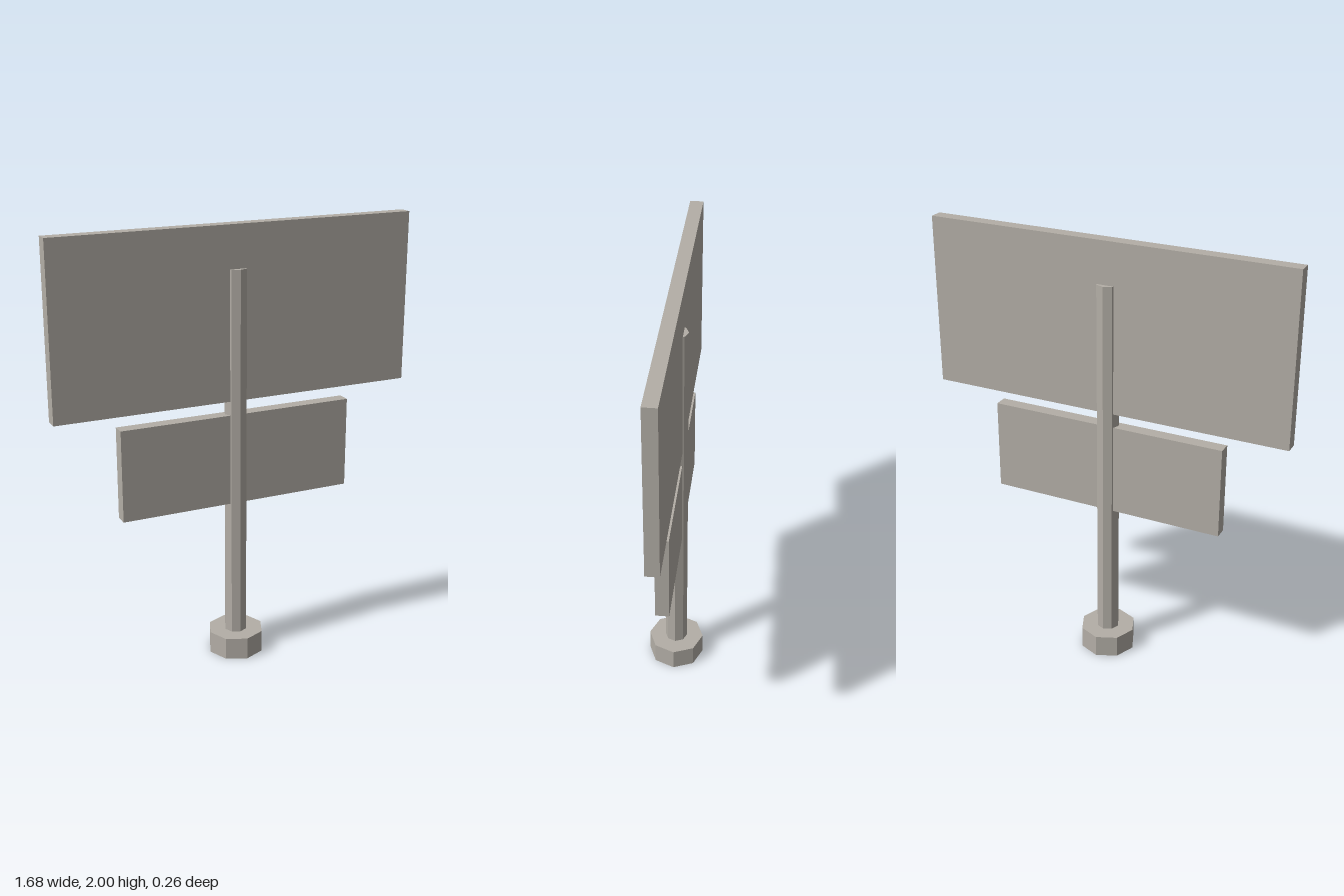
import * as THREE from 'three';

export function createModel() {
  const model = new THREE.Group();
  const grey = new THREE.MeshStandardMaterial({ color: 0xb3aea6 });
  grey.name = 'warmGrey';
  grey.flatShading = true;

  const add = (name, geometry, y0, y1) => {
    const mesh = new THREE.Mesh(geometry, grey);
    mesh.name = name;
    mesh.position.y = (y0 + y1) / 2;
    model.add(mesh);
  };
  // Octagonal prism with a corner facing the front
  const prism = (name, radius, y0, y1) =>
    add(name, new THREE.CylinderGeometry(radius, radius, y1 - y0, 8), y0, y1);
  // Flat sign board
  const board = (name, width, y0, y1) =>
    add(name, new THREE.BoxGeometry(width, y1 - y0, 0.06), y0, y1);

  prism('base', 0.13, 0, 0.103);
  prism('post', 0.052, 0.103, 1.81);
  board('lowerBoard', 1.1, 0.747, 1.164);
  board('upperBoard', 1.68, 1.228, 2);

  return model;
}
